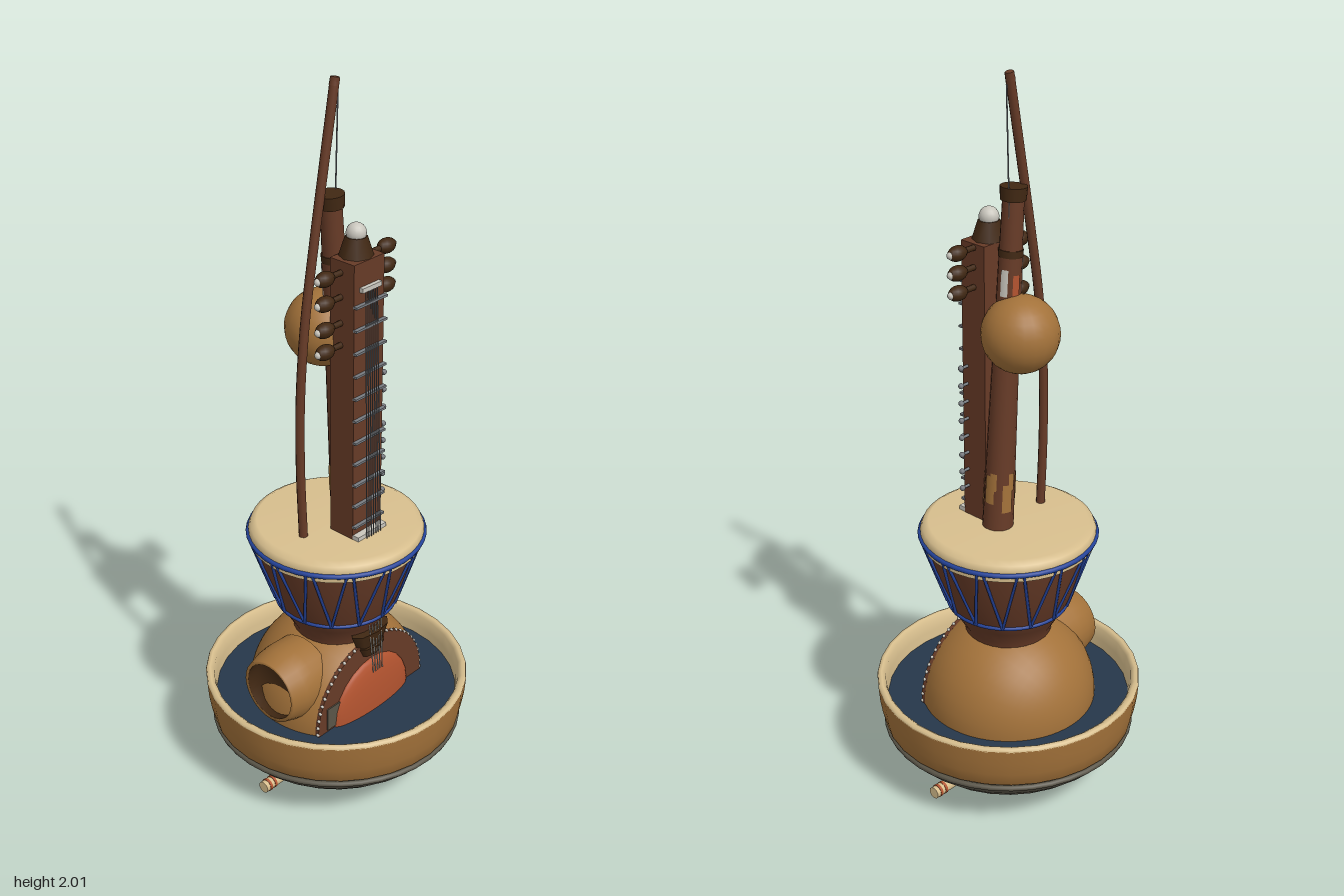
import * as THREE from 'three';

const mat = (name, color, side = THREE.FrontSide) => {
  const m = new THREE.MeshStandardMaterial({ color, side });
  m.name = name;
  return m;
};

export function createModel() {
  const D = THREE.DoubleSide;
  const gourd = mat('gourd', 0xa3723a, D), cream = mat('cream hide', 0xd8bf8e, D);
  const navy = mat('navy water', 0x26374a), grey = mat('grey bowl', 0x5a5548, D);
  const wood = mat('brown wood', 0x673b27, D), dark = mat('dark wood', 0x412813, D);
  const blue = mat('blue cord', 0x24439a), red = mat('red hide', 0xb2532f, D);
  const bone = mat('bone', 0xc9c6bd), steel = mat('steel', 0x777b80);

  const root = new THREE.Group();
  const add = (name, geo, m, x = 0, y = 0, z = 0, parent = root) => {
    const mesh = new THREE.Mesh(geo, m);
    mesh.name = name;
    mesh.position.set(x, y, z);
    parent.add(mesh);
    return mesh;
  };
  const V = (x, y, z) => new THREE.Vector3(x, y, z);
  const lathe = (pts, n = 32) => new THREE.LatheGeometry(pts.map(p => new THREE.Vector2(...p)), n);
  // Cylinder between two points
  const rod = (name, a, b, r, m, r2 = r, n = 8) => {
    const d = b.clone().sub(a);
    const mesh = add(name, new THREE.CylinderGeometry(r2, r, d.length(), n), m);
    mesh.position.copy(a).add(b).multiplyScalar(0.5);
    mesh.quaternion.setFromUnitVectors(V(0, 1, 0), d.normalize());
    return mesh;
  };
  const ring = (name, r, t, y, m) => {
    add(name, new THREE.TorusGeometry(r, t, 8, 40), m, 0, y).rotation.x = Math.PI / 2;
  };

  // Foot with turned rings underneath
  add('foot', lathe([[0, 0.025], [0.08, 0.025], [0.085, 0.012], [0.11, 0.012], [0.115, 0.02],
    [0.14, 0.02], [0.145, 0.008], [0.168, 0.008], [0.17, 0.04]]), dark);

  // Flute lying through the foot
  rod('flute', V(-0.3, 0.034, 0), V(0.3, 0.034, 0), 0.017, cream, 0.017, 12);
  for (const s of [-1, 1]) for (const x of [0.2, 0.262, 0.28])
    rod('fluteBand', V(s * x, 0.034, 0), V(s * (x + 0.008), 0.034, 0), 0.0185, red, 0.0185, 12);

  // Lower bowl, upper bowl, rim and water
  add('lowerBowl', lathe([[0.1, 0.025], [0.17, 0.03], [0.23, 0.05], [0.285, 0.083], [0.325, 0.12], [0.345, 0.16]]), grey);
  ring('bowlSeam', 0.346, 0.008, 0.155, grey);
  add('upperBowl', lathe([[0.338, 0.16], [0.352, 0.17], [0.361, 0.21], [0.367, 0.25], [0.37, 0.292]]), gourd);
  add('bowlRim', lathe([[0.37, 0.29], [0.368, 0.299], [0.358, 0.301], [0.347, 0.293], [0.342, 0.26], [0.339, 0.22]]), cream);
  add('water', new THREE.CylinderGeometry(0.34, 0.34, 0.01, 32), navy, 0, 0.228);

  // Gourd dome with its front sliced off
  const R = 0.245, cy = 0.24, cut = 0.12, faceR = Math.sqrt(R * R - cut * cut);
  const a0 = Math.acos(cut / R);
  add('gourdDome', new THREE.SphereGeometry(R, 36, 20, 0, Math.PI * 2, a0, Math.PI - a0), gourd, 0, cy).rotation.x = Math.PI / 2;

  // Sound face: wooden ring, bone edging, domed hide and patches
  const face = new THREE.Group();
  face.name = 'soundFace';
  face.position.set(0, cy, cut);
  root.add(face);
  add('faceRing', new THREE.CylinderGeometry(faceR, faceR, 0.012, 40), wood, 0, 0, 0.006, face).rotation.x = Math.PI / 2;
  for (let i = 0; i <= 30; i++) {
    const a = Math.PI * i / 30;
    add('stud', new THREE.SphereGeometry(0.005, 6, 5), bone, faceR * Math.cos(a), faceR * Math.sin(a), 0.009, face);
  }
  const cap = (name, m, r, p0, pl, t0, tl) => {
    const g = new THREE.SphereGeometry(r, 24, 8, p0, pl, t0, tl);
    g.rotateX(Math.PI / 2);
    g.scale(1, 1, 0.2);
    return add(name, g, m, 0, 0, 0.011, face);
  };
  cap('soundHide', red, 0.15, 0, Math.PI * 2, 0, Math.PI / 2);
  const patches = [[0.1, 0.5, 0.55, 0.9], [0.7, 0.4, 0.5, 0.45], [1.2, 0.5, 0.4, 0.4], [2.5, 0.4, 0.7, 0.6]];
  for (const [p, pl, t, tl] of patches) {
    // Angles are measured counter-clockwise from the right side
    const c = cap('hidePatch', gourd, 0.153, Math.PI - p - pl, pl, t, tl);
    c.name = 'hidePatch';
  }
  add('greyPatch', new THREE.BoxGeometry(0.06, 0.07, 0.005), grey, -0.15, 0.035, 0.013, face);

  // Dark bridge with short strings over the hide
  const bridge = add('bridge', new THREE.CylinderGeometry(0.072, 0.05, 0.05, 8), dark, 0, 0.462, 0.125);
  bridge.scale.z = 0.42;
  add('bridgeFoot', new THREE.CylinderGeometry(0.05, 0.035, 0.03, 8), dark, 0, 0.425, 0.13).scale.z = 0.5;
  for (let i = -2; i <= 2; i++)
    rod('shortString', V(i * 0.012, 0.52, 0.145), V(i * 0.009, 0.36, 0.157), 0.0018, bone, 0.0018, 5);

  // Open side neck of the gourd
  const port = add('sideNeck', lathe([[0.106, 0.13], [0.108, 0.19], [0.104, 0.225], [0.092, 0.268], [0.082, 0.268]], 28), gourd, 0, 0.352);
  port.rotation.z = Math.PI / 2;
  const hollow = add('sideNeckHollow', lathe([[0.082, 0.268], [0.088, 0.222], [0, 0.222]], 28), dark, 0, 0.352);
  hollow.rotation.z = Math.PI / 2;

  // Drum body and skin
  add('drumBody', lathe([[0.118, 0.44], [0.122, 0.47], [0.145, 0.51], [0.165, 0.545], [0.193, 0.62], [0.216, 0.69], [0.232, 0.76]]), wood);
  add('drumSkin', lathe([[0.236, 0.735], [0.238, 0.765], [0.232, 0.78], [0.215, 0.79], [0, 0.792]], 40), cream);
  ring('upperCordRing', 0.238, 0.007, 0.755, blue);
  ring('lowerCordRing', 0.165, 0.006, 0.545, blue);
  const N = 14;
  for (let i = 0; i < N; i++) {
    const at = (k, r, y) => V(r * Math.sin(k * Math.PI * 2 / N), y, r * Math.cos(k * Math.PI * 2 / N));
    for (const s of [-0.42, 0.42]) rod('drumCord', at(i, 0.169, 0.545), at(i + s, 0.24, 0.755), 0.0042, blue, 0.0042, 6);
  }

  // Fretted neck with strings
  add('neck', new THREE.BoxGeometry(0.11, 0.78, 0.08), wood, 0, 1.18, 0.07);
  add('neckHead', new THREE.CylinderGeometry(0.028, 0.044, 0.05, 8), dark, 0, 1.595, 0.066);
  add('headKnob', new THREE.SphereGeometry(0.026, 16, 12), bone, 0, 1.628, 0.066);
  for (let i = 0; i < 11; i++)
    add('fret', new THREE.BoxGeometry(0.114, 0.006, 0.012), steel, 0, 0.83 + i * 0.063, 0.115);
  for (let i = -3; i <= 3; i++)
    rod('longString', V(i * 0.009, 0.793, 0.135), V(i * 0.007, 1.5, 0.118), 0.0016, steel, 0.0016, 5);
  add('nut', new THREE.BoxGeometry(0.07, 0.012, 0.014), bone, 0, 1.5, 0.114);
  add('stringFoot', new THREE.BoxGeometry(0.11, 0.012, 0.02), bone, 0, 0.798, 0.12);

  // Tuning pegs
  const peg = (s, y) => {
    rod('pegShaft', V(s * 0.05, y, 0.066), V(s * 0.1, y, 0.066), 0.008, dark);
    add('pegHandle', new THREE.SphereGeometry(0.02, 12, 10), dark, s * 0.112, y, 0.066).scale.x = 1.5;
    add('pegTip', new THREE.SphereGeometry(0.01, 8, 6), bone, s * 0.136, y, 0.066);
  };
  [1.56, 1.508, 1.455].forEach(y => peg(1, y));
  [1.54, 1.475, 1.405, 1.345].forEach(y => peg(-1, y));
  for (let i = 0; i < 8; i++) {
    const y = 0.88 + i * 0.05;
    rod('smallPeg', V(0.05, y, 0.093), V(0.075, y, 0.093), 0.004, steel);
    add('smallPegHead', new THREE.SphereGeometry(0.008, 8, 6), steel, 0.079, y, 0.093);
  }

  // Leaning pipe with painted patches
  const p0 = V(0.04, 0.79, 0), p1 = V(-0.02, 1.715, 0);
  rod('pipe', p0, p1, 0.042, wood, 0.027, 18);
  const onPipe = t => p0.clone().lerp(p1, t);
  rod('pipeMouth', onPipe(0.965), onPipe(1.002), 0.033, dark, 0.035, 18);
  rod('pipeCollar', onPipe(0.81), onPipe(0.83), 0.032, dark, 0.032, 18);
  const pipePatch = (t, h, a, w, m) => {
    const r = 0.0435 - 0.015 * t;
    const mesh = add('pipePatch', new THREE.CylinderGeometry(r, r + 0.0005, h, 8, 1, true, a, w), m);
    mesh.position.copy(onPipe(t));
    mesh.quaternion.setFromUnitVectors(V(0, 1, 0), p1.clone().sub(p0).normalize());
  };
  for (let i = 0; i < 5; i++) {
    pipePatch(0.1 + (i % 2) * 0.025, 0.08, i * 1.26, 0.7, gourd);
    pipePatch(0.15, 0.05, i * 1.26 + 0.4, 0.45, gourd);
  }
  pipePatch(0.76, 0.09, 3.6, 0.7, bone);
  pipePatch(0.74, 0.07, 1.6, 0.6, bone);
  pipePatch(0.72, 0.08, 2.6, 0.6, red);

  // Musical bow with wire and gourd resonator
  const bow = new THREE.CatmullRomCurve3([V(-0.128, 0.79, 0), V(-0.136, 1, 0), V(-0.133, 1.2, 0),
    V(-0.114, 1.4, 0), V(-0.08, 1.6, 0), V(-0.042, 1.8, 0), V(-0.004, 1.998, 0)]);
  add('bowStick', new THREE.TubeGeometry(bow, 40, 0.012, 10), wood);
  rod('bowTip', V(-0.008, 1.98, 0), V(-0.004, 2, 0), 0.0125, wood, 0.011, 10);
  rod('bowWire', V(0.006, 1.97, 0), V(0.01, 1.4, -0.02), 0.002, steel, 0.002, 5);
  add('resonator', new THREE.SphereGeometry(0.102, 22, 16), gourd, 0, 1.343, -0.043);

  return root;
}
